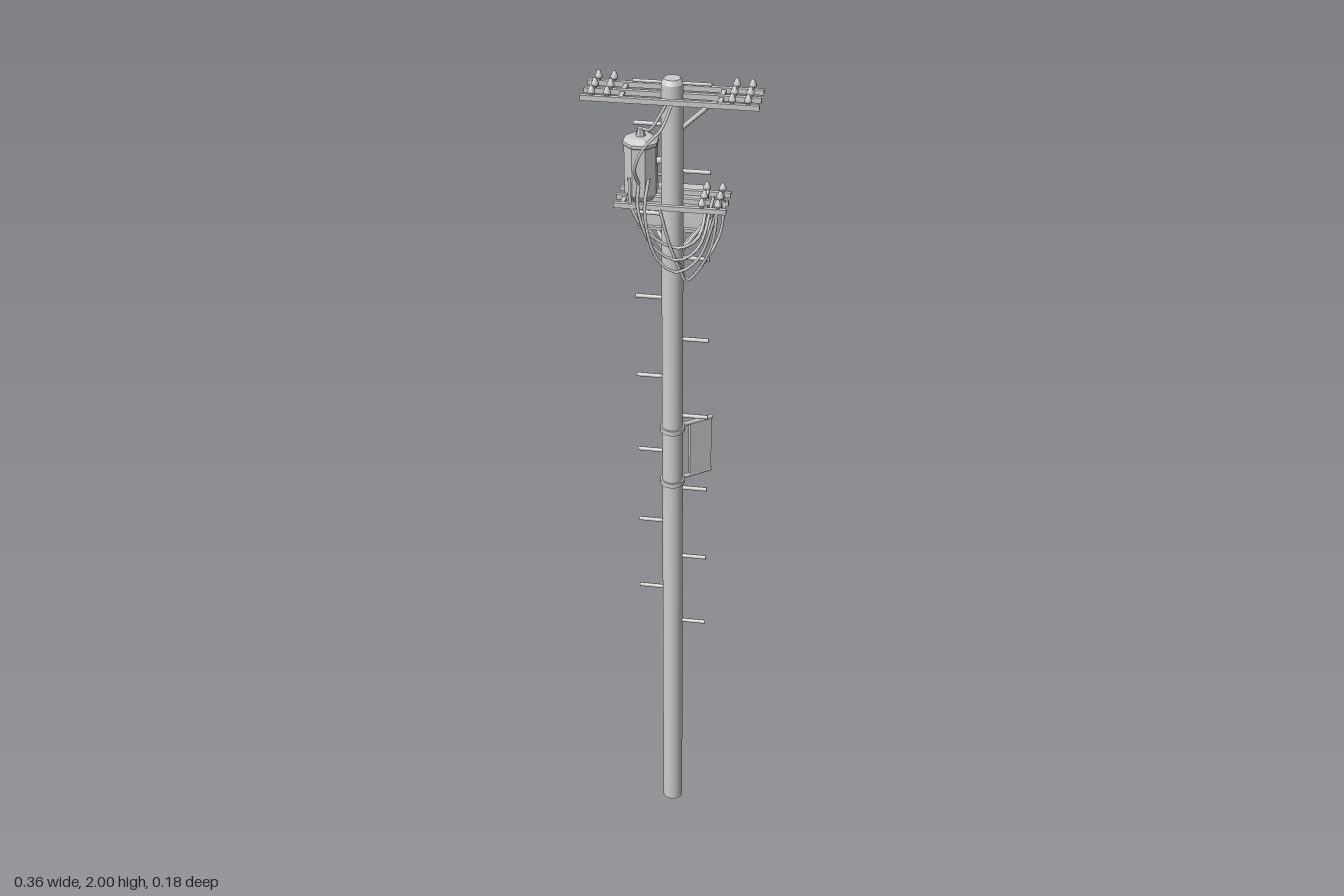
import * as THREE from 'three';

const POLE_Z = 0.028;
const ARM_Z = [-0.013, 0.028, 0.067];
const smooth = new THREE.MeshStandardMaterial({ color: 0xcccccc });
const faceted = new THREE.MeshStandardMaterial({ color: 0xcccccc, flatShading: true });
const V = (p) => new THREE.Vector3(...p);

export function createModel() {
  const model = new THREE.Group();

  function add(name, geometry, pos = [0, 0, 0], material = smooth) {
    const mesh = new THREE.Mesh(geometry, material);
    mesh.name = name;
    mesh.position.set(...pos);
    model.add(mesh);
    return mesh;
  }
  const box = (name, size, pos) => add(name, new THREE.BoxGeometry(...size), pos, faceted);

  // Round bar between two points
  function rod(name, a, b, r, sides = 8) {
    const from = V(a), to = V(b), dir = to.clone().sub(from);
    const mesh = add(name, new THREE.CylinderGeometry(r, r, dir.length(), sides),
      from.clone().add(to).multiplyScalar(0.5).toArray());
    mesh.quaternion.setFromUnitVectors(new THREE.Vector3(0, 1, 0), dir.normalize());
    return mesh;
  }

  function cable(name, points, r = 0.0035) {
    const curve = new THREE.CatmullRomCurve3(points.map(V));
    return add(name, new THREE.TubeGeometry(curve, 20, r, 6));
  }

  // Pin with a bulging ceramic bell
  const bell = [[0, -0.002], [0.004, -0.002], [0.004, 0.004], [0.008, 0.006], [0.008, 0.011],
    [0.005, 0.015], [0.004, 0.02], [0, 0.022]].map(([x, y]) => new THREE.Vector2(x, y));
  const insulator = (x, y, z) => add('insulator', new THREE.LatheGeometry(bell, 10), [x, y, z]);

  // Pole
  add('pole', new THREE.CylinderGeometry(0.023, 0.025, 1.99, 20), [0, 0.995, POLE_Z]);
  add('poleCap', new THREE.CylinderGeometry(0.017, 0.023, 0.01, 20), [0, 1.995, POLE_Z]);

  // Climbing pegs, alternating sides
  for (let i = 0; i < 14; i++) {
    const s = i % 2 ? -1 : 1, y = 0.6 + i * 0.1;
    rod('climbingPeg', [s * 0.015, y, POLE_Z], [s * 0.08, y, POLE_Z], 0.0048);
  }
  rod('topPeg', [-0.08, 1.99, POLE_Z], [0.08, 1.99, POLE_Z], 0.0035);

  // Upper crossarms
  for (const z of ARM_Z) {
    box('upperCrossarm', [0.36, 0.011, 0.009], [0, 1.964, z]);
    for (const x of [-0.157, -0.125, 0.125, 0.157]) insulator(x, 1.969, z);
  }
  for (const x of [-0.1, 0.1]) box('upperArmLink', [0.009, 0.009, 0.085], [x, 1.962, 0.027]);
  rod('upperBrace', [0.09, 1.96, POLE_Z], [0.015, 1.89, POLE_Z], 0.005);

  // Lower crossarms
  for (const z of ARM_Z) {
    box('lowerCrossarm', [0.235, 0.011, 0.009], [0, 1.733, z]);
    for (const x of [0.067, 0.1]) insulator(x, 1.738, z);
  }
  for (const x of [-0.1, 0.1]) box('lowerArmLink', [0.009, 0.009, 0.085], [x, 1.731, 0.027]);
  for (const s of [-1, 1]) {
    rod('lowerBrace', [s * 0.1, 1.73, POLE_Z], [s * 0.015, 1.61, POLE_Z], 0.0045);
  }

  // Octagonal transformer can on the lower crossarms
  const can = [[0, 1.735], [0.026, 1.735], [0.036, 1.75], [0.036, 1.855], [0.038, 1.857],
    [0.038, 1.864], [0.024, 1.872], [0, 1.874]].map(([x, y]) => new THREE.Vector2(x, y));
  add('transformer', new THREE.LatheGeometry(can, 8, Math.PI / 8), [-0.065, 0, 0.028], faceted);
  add('transformerBushing', new THREE.CylinderGeometry(0.007, 0.011, 0.018, 8), [-0.065, 1.88, 0.028], faceted);
  rod('transformerMount', [-0.035, 1.82, POLE_Z], [0, 1.82, POLE_Z], 0.008);

  // Equipment box behind the pole, on its tray
  box('equipmentBox', [0.128, 0.068, 0.07], [0, 1.692, -0.031]);
  box('equipmentTray', [0.15, 0.007, 0.086], [0, 1.655, -0.031]);
  for (const s of [-1, 1]) {
    rod('trayBrace', [s * 0.06, 1.652, -0.05], [s * 0.008, 1.6, 0.012], 0.0045);
  }

  // Banner panel held diagonally by two clamped brackets
  const angle = Math.atan2(0.058, 0.08);
  const out = (d, y) => [d * Math.cos(angle), y, POLE_Z - d * Math.sin(angle)];
  for (const y of [1.02, 1.165]) {
    add('poleClamp', new THREE.CylinderGeometry(0.028, 0.028, 0.012, 20), [0, y, POLE_Z]);
    rod('bannerBracket', out(0.02, y), out(0.101, y), 0.005);
  }
  const panel = box('bannerPanel', [0.055, 0.14, 0.009], out(0.071, 1.0925));
  panel.rotation.y = angle;

  // Feed cables from the pole top to the transformer
  cable('feedCable', [[0.005, 1.96, 0.06], [-0.015, 1.91, 0.075], [-0.05, 1.87, 0.085],
    [-0.07, 1.82, 0.08], [-0.065, 1.78, 0.06]]);
  cable('feedCable', [[-0.01, 1.95, 0.05], [-0.04, 1.9, 0.055], [-0.06, 1.888, 0.03]]);

  // Slack cables looping across the front
  for (let i = 0; i < 3; i++) {
    const z = 0.068 + i * 0.007, drop = i * 0.025;
    cable('frontCable', [[-0.085 + i * 0.02, 1.79, 0.055], [-0.08 + i * 0.015, 1.73, z],
      [-0.045 + i * 0.01, 1.675 - drop, z + 0.003], [0.015, 1.64 - drop, z - 0.005],
      [0.06, 1.67 - drop, 0.068], [0.07 + i * 0.016, 1.745, ARM_Z[i]]]);
  }
  // Drop cables running down to the pole
  for (const [x, z] of [[0.1, 0.067], [0.11, 0.028]]) {
    cable('dropCable', [[x, 1.74, z], [x - 0.01, 1.66, z + 0.005], [0.06, 1.59, 0.06],
      [0.035, 1.56, 0.05], [0.015, 1.6, 0.05]]);
  }
  cable('dropCable', [[-0.02, 1.73, 0.07], [0, 1.65, 0.068], [0.03, 1.565, 0.06]]);

  // Rear cables from the transformer to the equipment box
  cable('rearCable', [[-0.085, 1.8, 0.02], [-0.092, 1.76, -0.03], [-0.06, 1.715, -0.078],
    [-0.01, 1.69, -0.088], [0.022, 1.695, -0.082], [0.03, 1.705, -0.064]]);
  cable('rearCable', [[-0.075, 1.78, 0.0], [-0.08, 1.75, -0.045], [-0.055, 1.74, -0.075],
    [-0.025, 1.735, -0.077], [-0.022, 1.715, -0.064]]);

  return model;
}
